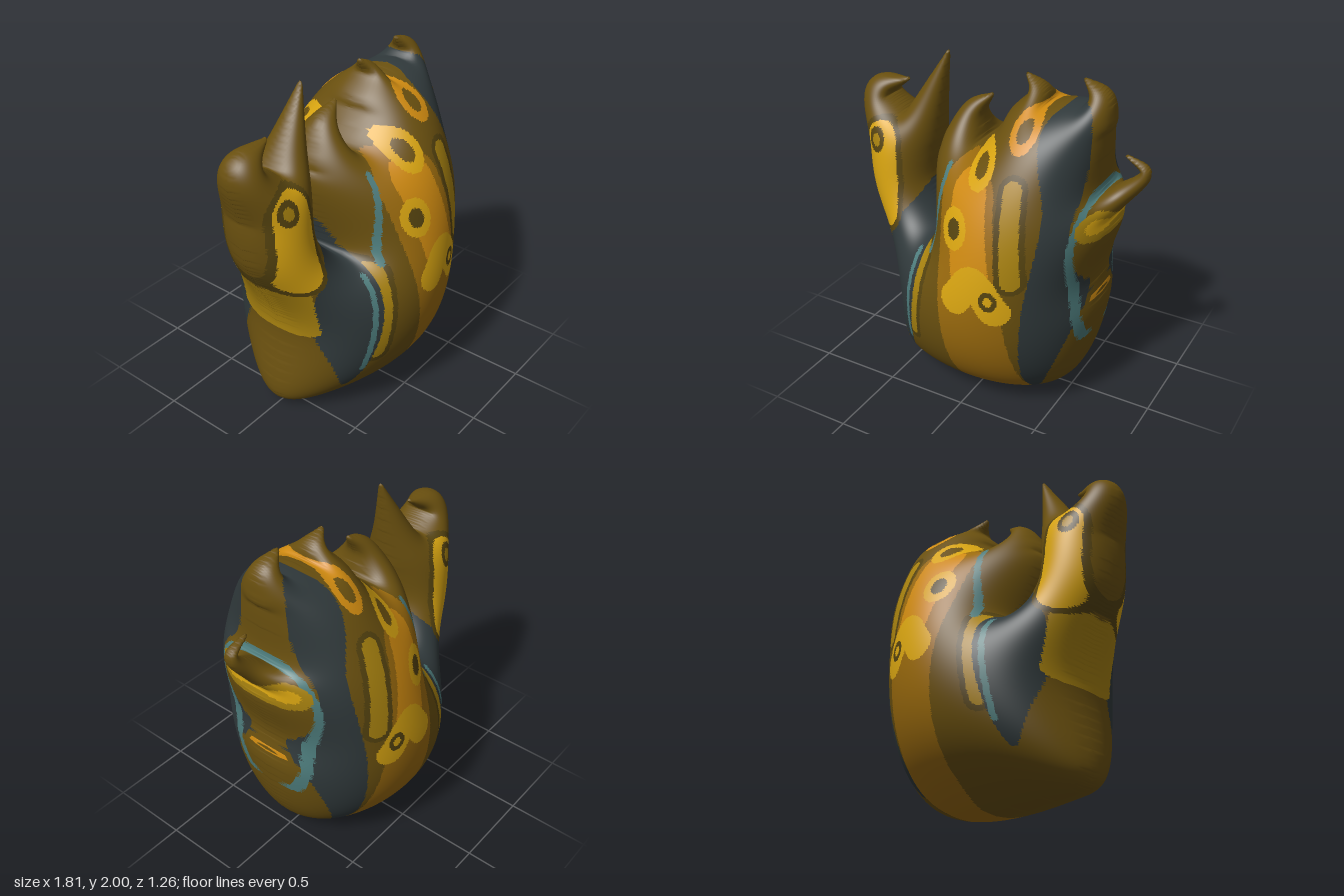
import * as THREE from 'three';

// Shapes are drawn in hundredths of a unit on a grid of NX by NY points
const NX = 191, NY = 206, DEPTH = 63;

const COLOURS = {
  olive: 0x6a500f, darkOlive: 0x55430f, mustard: 0xa8820f, yellow: 0xd9a511,
  orange: 0xcf8a10, amber: 0x9a6a0d, slate: 0x30393b, teal: 0x4d7c7c,
};
const NAMES = Object.keys(COLOURS);

// Smooth curve through x, y pairs
function smooth(list, closed) {
  const pts = [];
  for (let i = 0; i < list.length; i += 2) pts.push(new THREE.Vector3(list[i], list[i + 1], 0));
  return new THREE.CatmullRomCurve3(pts, closed).getSpacedPoints(list.length * 6);
}

function inside(x, y, poly) {
  let hit = false;
  poly.forEach((a, i) => {
    const b = poly.at(i - 1);
    if ((a.y > y) !== (b.y > y) && x < ((b.x - a.x) * (y - a.y)) / (b.y - a.y) + a.x) hit = !hit;
  });
  return hit;
}

// How far a point lies within a stroke whose radius runs from r0 to r1
function within(x, y, line, r0, r1) {
  let best = -Infinity;
  for (let i = 1; i < line.length; i++) {
    const a = line[i - 1], dx = line[i].x - a.x, dy = line[i].y - a.y;
    const t = THREE.MathUtils.clamp(((x - a.x) * dx + (y - a.y) * dy) / (dx * dx + dy * dy || 1), 0, 1);
    const r = THREE.MathUtils.lerp(r0, r1, (i - 1 + t) / (line.length - 1));
    best = Math.max(best, r - Math.hypot(x - a.x - t * dx, y - a.y - t * dy));
  }
  return best;
}

// Solid silhouettes: positive inside, negative outside
const trunk = (...list) => {
  const poly = smooth(list, true);
  return (x, y) => (inside(x, y, poly) ? -1 : 1) * within(x, y, poly, 0, 0);
};
const horn = (radius, ...list) => {
  const line = smooth(list, false);
  return (x, y) => within(x, y, line, radius, 1);
};

const silhouette = () => [
  trunk(-62, 5, -60, 62, -83, 115, -80, 150, -43, 150, -42, 121, -29, 100, -35, 148, -9, 154,
    16, 177, 62, 183, 65, 140, 73, 122, 65, 88, 67, 62, 47, 8, -32, 1),
  horn(18, -67, 142, -82, 168, -62, 178),   // big curl on the stem
  horn(14, -54, 146, -42, 178, -34, 199),   // tall stem tip
  horn(13, -21, 150, -17, 168, -6, 179),    // small inner tip
  horn(11, 18, 170, 24, 186, 16, 195),      // middle crown tip
  horn(10, 58, 178, 60, 189, 50, 198),      // outer crown tip
  horn(7, 69, 132, 87, 153, 76, 160),       // side hook
];

// Painted areas
const patch = (colour, ...list) => {
  const poly = smooth(list, true);
  return { colour, test: (x, y) => inside(x, y, poly) };
};
const stripe = (colour, r, ...list) => {
  const line = smooth(list, false);
  return { colour, test: (x, y) => within(x, y, line, r, r) > 0 };
};
const edged = (colour, r, ...list) => [stripe('darkOlive', r + 3, ...list), stripe(colour, r, ...list)];
const spot = (colour, cx, cy, r) => ({ colour, test: (x, y) => Math.hypot(x - cx, (y - cy) * 0.8) < r });
const ring = (outer, inner, cx, cy, r) => [spot(outer, cx, cy, r), spot(inner, cx, cy, r / 2)];

// Later layers lie on top
const paintLayers = () => [
  // bands of the body
  stripe('amber', 19, 18, 15, 10, 100, 4, 138),
  stripe('orange', 12, 13, 100, 6, 140),
  edged('mustard', 5, 32, 148, 36, 99),
  edged('mustard', 4, -25, 95, -31, 45),
  // slate bands and teal lines
  patch('slate', -35, 173, -39, 140, -27, 99, -42, 19, -56, 60, -58, 94, -44, 118),
  patch('slate', 39, 181, 48, 135, 41, 75, 38, 10, 64, 75, 60, 110, 58, 188),
  stripe('teal', 1.5, -31, 93, -37, 34),
  stripe('teal', 1.5, -15, 147, -21, 98),
  stripe('teal', 1.5, 65, 142, 60, 108, 63, 50),
  // stem
  stripe('mustard', 6, -70, 105, -60, 62),
  edged('yellow', 11, -68, 146, -65, 105),
  ring('darkOlive', 'mustard', -71, 146, 6),
  // body rings and the arched blotch
  ring('orange', 'olive', 29, 174, 8),
  ring('yellow', 'olive', 9, 154, 9),
  ring('yellow', 'darkOlive', 0, 121, 9),
  stripe('yellow', 9, 5, 83, 16, 96, 28, 80),
  ring('darkOlive', 'yellow', 25, 86, 5),
  // narrow side
  ring('mustard', 'yellow', 69, 125, 7),
  ring('orange', 'olive', 67, 75, 2),
].flat();

// Swells the silhouette into a rounded cushion, mirrored front to back
function inflate(shapes, layers) {
  const px = (k) => (k % NX) - 95, py = (k) => Math.floor(k / NX) - 2;
  const sd = new Float32Array(NX * NY), u = new Float32Array(NX * NY), cells = [];
  for (let k = 0; k < sd.length; k++) {
    sd[k] = Math.max(...shapes.map((s) => s(px(k), py(k))));
    if (sd[k] > 0) cells.push(k);
  }
  // relax a membrane pinned to the outline
  for (let pass = 0; pass < 700; pass++) {
    for (const k of cells) {
      let sum = 1, weight = 4;
      for (const m of [k - 1, k + 1, k - NX, k + NX]) {
        if (sd[m] > 0) sum += u[m];
        else weight += Math.min(4, -sd[m] / sd[k]);
      }
      u[k] += 1.9 * (sum / weight - u[k]);
    }
  }
  const top = u.reduce((a, b) => Math.max(a, b));

  const points = [], ids = new Map(), faces = NAMES.map(() => []);
  const vertex = (key, x, y, z) => {
    if (!ids.has(key)) ids.set(key, points.push(new THREE.Vector3(x, y, z).divideScalar(100)) - 1);
    return ids.get(key);
  };
  const node = (k) => {
    const x = px(k), y = py(k), z = DEPTH * Math.sqrt(Math.max(u[k], 0) / top);
    return { x, y, f: vertex('f' + k, x, y, z), b: vertex('b' + k, x, y, -z) };
  };
  const rim = (a, b) => {
    const lo = Math.min(a, b), hi = Math.max(a, b), t = sd[lo] / (sd[lo] - sd[hi]);
    const x = THREE.MathUtils.lerp(px(lo), px(hi), t), y = THREE.MathUtils.lerp(py(lo), py(hi), t);
    const id = vertex(lo + '_' + hi, x, y, 0);
    return { x, y, f: id, b: id };
  };
  // trim each grid triangle to the outline and sort it by colour
  const triangle = (...corners) => {
    const loop = [];
    corners.forEach((a, i) => {
      const b = corners[(i + 1) % 3];
      if (sd[a] > 0) loop.push(node(a));
      if ((sd[a] > 0) !== (sd[b] > 0)) loop.push(rim(a, b));
    });
    for (let i = 2; i < loop.length; i++) {
      const p = loop[0], q = loop[i - 1], r = loop[i];
      const layer = layers.findLast((l) => l.test((p.x + q.x + r.x) / 3, (p.y + q.y + r.y) / 3));
      faces[NAMES.indexOf(layer ? layer.colour : 'olive')].push(p.f, q.f, r.f, p.b, r.b, q.b);
    }
  };
  for (let k = 0; k < NX * (NY - 1); k++) {
    if (k % NX === NX - 1) continue;
    triangle(k, k + 1, k + NX + 1);
    triangle(k, k + NX + 1, k + NX);
  }
  const geo = new THREE.BufferGeometry().setFromPoints(points);
  let start = 0;
  faces.forEach((list, i) => { geo.addGroup(start, list.length, i); start += list.length; });
  geo.setIndex(faces.flat());
  geo.computeVertexNormals();
  return geo;
}

export function createModel() {
  const materials = NAMES.map((name) => {
    const m = new THREE.MeshStandardMaterial({ color: COLOURS[name] });
    m.name = name;
    return m;
  });
  const body = new THREE.Mesh(inflate(silhouette(), paintLayers()), materials);
  body.name = 'paintedBody';
  const model = new THREE.Group();
  model.name = 'curledVessel';
  model.add(body);
  return model;
}
